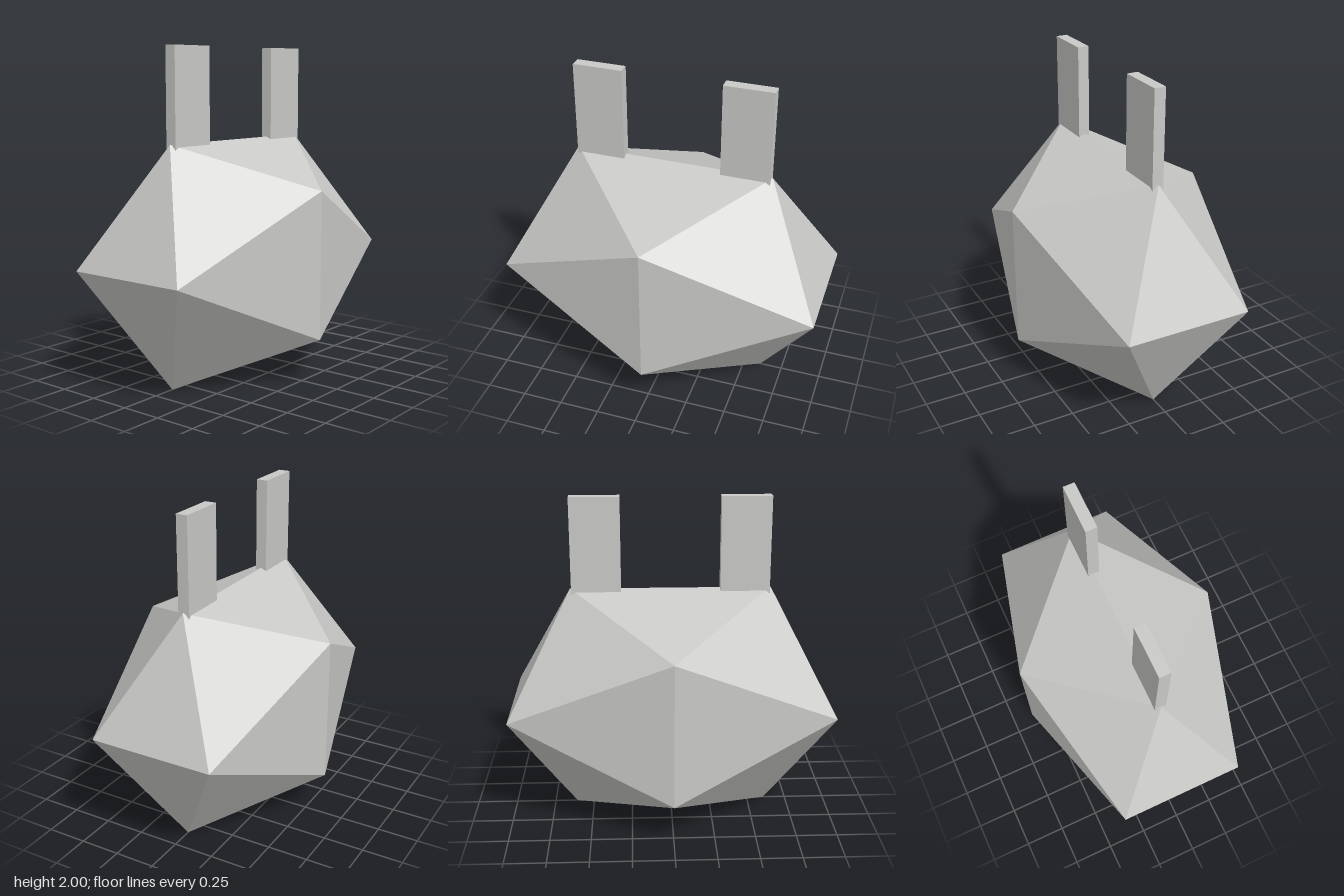
import * as THREE from 'three';

export function createModel() {
  const model = new THREE.Group();
  const grey = new THREE.MeshStandardMaterial({ color: 0xc8c8c6 });
  grey.name = 'light grey';

  // Body: a stretched icosahedron, its top and bottom edges running along x
  const bodyGeometry = new THREE.IcosahedronGeometry(1, 0);
  bodyGeometry.scale(1.158, 0.845, 0.737);
  bodyGeometry.computeVertexNormals(); // unshared corners keep the facets flat
  const body = new THREE.Mesh(bodyGeometry, grey);
  body.name = 'body';
  body.position.y = 0.722;
  model.add(body);

  // Two flat upright ears, sunk slightly into the top ridge
  const bottom = 1.36, top = 2;
  const earGeometry = new THREE.BoxGeometry(0.3, top - bottom, 0.07);
  for (const [name, side] of [['leftEar', 1], ['rightEar', -1]]) {
    const ear = new THREE.Mesh(earGeometry, grey);
    ear.name = name;
    ear.position.set(side * 0.45, (top + bottom) / 2, 0);
    model.add(ear);
  }
  return model;
}
